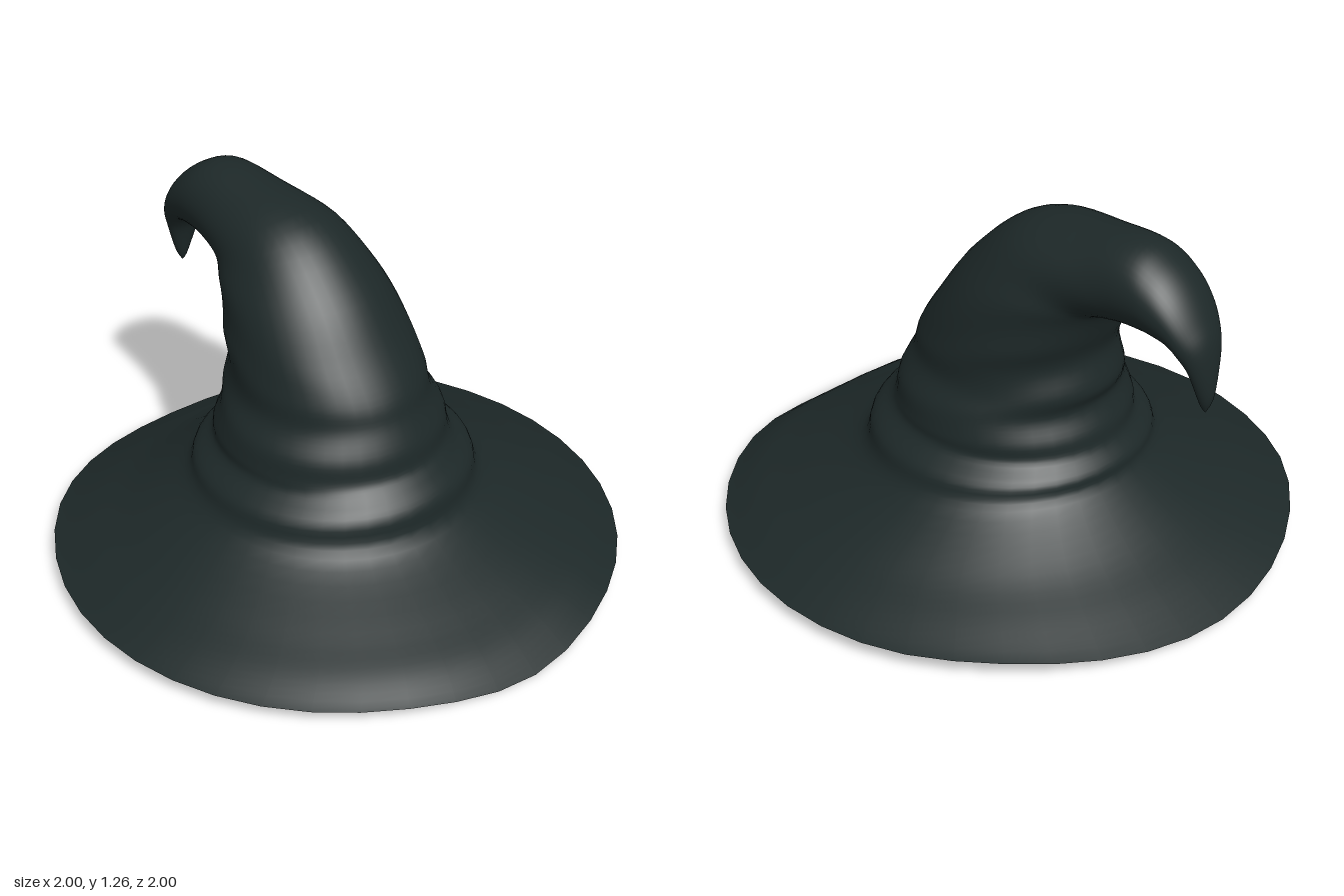
import * as THREE from 'three';

// Cross-sections from rim to tip: left x, left y, right x, right y, half depth
const RINGS = [
  [-1, 0.02, 1, 0, 1],
  [-0.86, 0.1, 0.9, 0.075, 0.88],
  [-0.7, 0.19, 0.75, 0.15, 0.74],
  [-0.53, 0.32, 0.51, 0.27, 0.53],
  [-0.505, 0.385, 0.47, 0.38, 0.48],
  [-0.46, 0.44, 0.42, 0.44, 0.41],
  [-0.445, 0.5, 0.385, 0.48, 0.4],
  [-0.41, 0.58, 0.37, 0.55, 0.38],
  [-0.43, 0.65, 0.33, 0.64, 0.335],
  [-0.405, 0.76, 0.3, 0.72, 0.322],
  [-0.43, 0.85, 0.22, 0.84, 0.31],
  [-0.465, 0.94, 0.08, 1.03, 0.268],
  [-0.5, 0.965, -0.13, 1.2, 0.215],
  [-0.6, 0.98, -0.42, 1.25, 0.17],
  [-0.68, 0.98, -0.6, 1.262, 0.153],
  [-0.74, 0.975, -0.7, 1.225, 0.14],
  [-0.785, 0.962, -0.78, 1.16, 0.122],
  [-0.81, 0.935, -0.845, 1.07, 0.1],
  [-0.83, 0.89, -0.885, 0.98, 0.07],
  [-0.855, 0.79, -0.897, 0.83, 0.026],
  [-0.873, 0.76, -0.873, 0.76, 0],
];
const SIDES = 40;
const STEPS = 5; // rows between neighbouring cross-sections
const BRIM_END = 4; // cross-section where the brim meets the cone
const LINING_EDGE = 2.8; // where the lining leaves the brim and domes over

// Catmull-Rom blend of the cross-sections at position s
function ringAt(s) {
  const i = Math.min(Math.floor(s), RINGS.length - 2);
  const t = s - i;
  const at = (k) => RINGS[Math.max(0, Math.min(RINGS.length - 1, k))];
  const [a, b, c, d] = [at(i - 1), at(i), at(i + 1), at(i + 2)];
  return b.map((v, k) => v + 0.5 * t * (c[k] - a[k]
    + t * (2 * a[k] - 5 * v + 4 * c[k] - d[k] + t * (3 * (v - c[k]) + d[k] - a[k]))));
}

// Point of the outer felt at position s and angle a
function feltPoint(s, a) {
  const [lx, ly, rx, ry, depth] = ringAt(s);
  const c = Math.cos(a);
  const n = Math.sin(a);
  // The brim dips sharply on its right end and broadly on its left, fading towards the cone
  const dip = c > 0 ? c ** 18 : c ** 8;
  const wave = 0.05 * (1 - dip) + 0.02 * Math.exp(-(((c + 0.72) / 0.2) ** 2)) * n * n;
  const lift = wave * Math.max(0, 1 - s / 3) ** 1.3;
  // Soft folds on the sides of the inner bend
  const fold = Math.exp(-(((s - 10) / 2.2) ** 2)) * 0.03;
  const ripple = 1 + fold * n * n * (0.5 - 0.5 * c) * Math.sin(s * 3 + c * 3);
  return [
    (lx + rx) / 2 + c * (rx - lx) / 2 * ripple,
    (ly + ry) / 2 + c * (ry - ly) / 2 + lift,
    n * depth * ripple,
  ];
}

// Point of the lining: t 0 to 1 follows the underside of the brim, 1 to 2 closes it as a shallow dome
function liningPoint(t, a) {
  const [x, y, z] = feltPoint(Math.min(t, 1) * LINING_EDGE, a);
  const under = y - 0.015 * Math.min(1, t * 6);
  const u = Math.max(0, t - 1);
  return [x * (1 - u), under + (0.39 - under) * (1 - (1 - u) ** 2), z * (1 - u)];
}

// Smooth surface of closed loops, given a point rule and the range of its first parameter
function loft(point, end, rows) {
  const positions = [];
  for (let r = 0; r <= rows; r++) {
    for (let j = 0; j < SIDES; j++) {
      positions.push(...point((r / rows) * end, (j / SIDES) * Math.PI * 2));
    }
  }
  const geometry = new THREE.BufferGeometry();
  geometry.setAttribute('position', new THREE.Float32BufferAttribute(positions, 3));
  geometry.setIndex(strip(0, rows, false));
  geometry.computeVertexNormals();
  return geometry;
}

// Triangles between rows, facing outwards, or inwards when flipped
function strip(from, to, flipped) {
  const index = [];
  for (let r = from; r < to; r++) {
    for (let j = 0; j < SIDES; j++) {
      const k = (j + 1) % SIDES;
      const p = r * SIDES;
      const q = p + SIDES;
      if (flipped) index.push(p + j, p + k, q + j, p + k, q + k, q + j);
      else index.push(p + j, q + j, p + k, p + k, q + j, q + k);
    }
  }
  return index;
}

export function createModel() {
  const felt = new THREE.MeshStandardMaterial({ color: 0x1d2828 });
  felt.name = 'dark felt';

  const hat = new THREE.Group();
  hat.name = 'hat';
  const addPart = (name, geometry) => {
    const mesh = new THREE.Mesh(geometry, felt);
    mesh.name = name;
    hat.add(mesh);
  };

  // Brim and cone share the normals of one surface so they join smoothly
  const rows = (RINGS.length - 1) * STEPS;
  const outer = loft(feltPoint, RINGS.length - 1, rows);
  const brim = outer.clone();
  brim.setIndex(strip(0, BRIM_END * STEPS, false));
  addPart('brim', brim);
  const cone = outer.clone();
  cone.setIndex(strip(BRIM_END * STEPS, rows, false));
  addPart('bentCone', cone);

  // Underside of the brim and the shallow dome inside
  const lining = loft(liningPoint, 2, 24);
  lining.setIndex(strip(0, 24, true));
  lining.computeVertexNormals();
  addPart('lining', lining);
  return hat;
}
